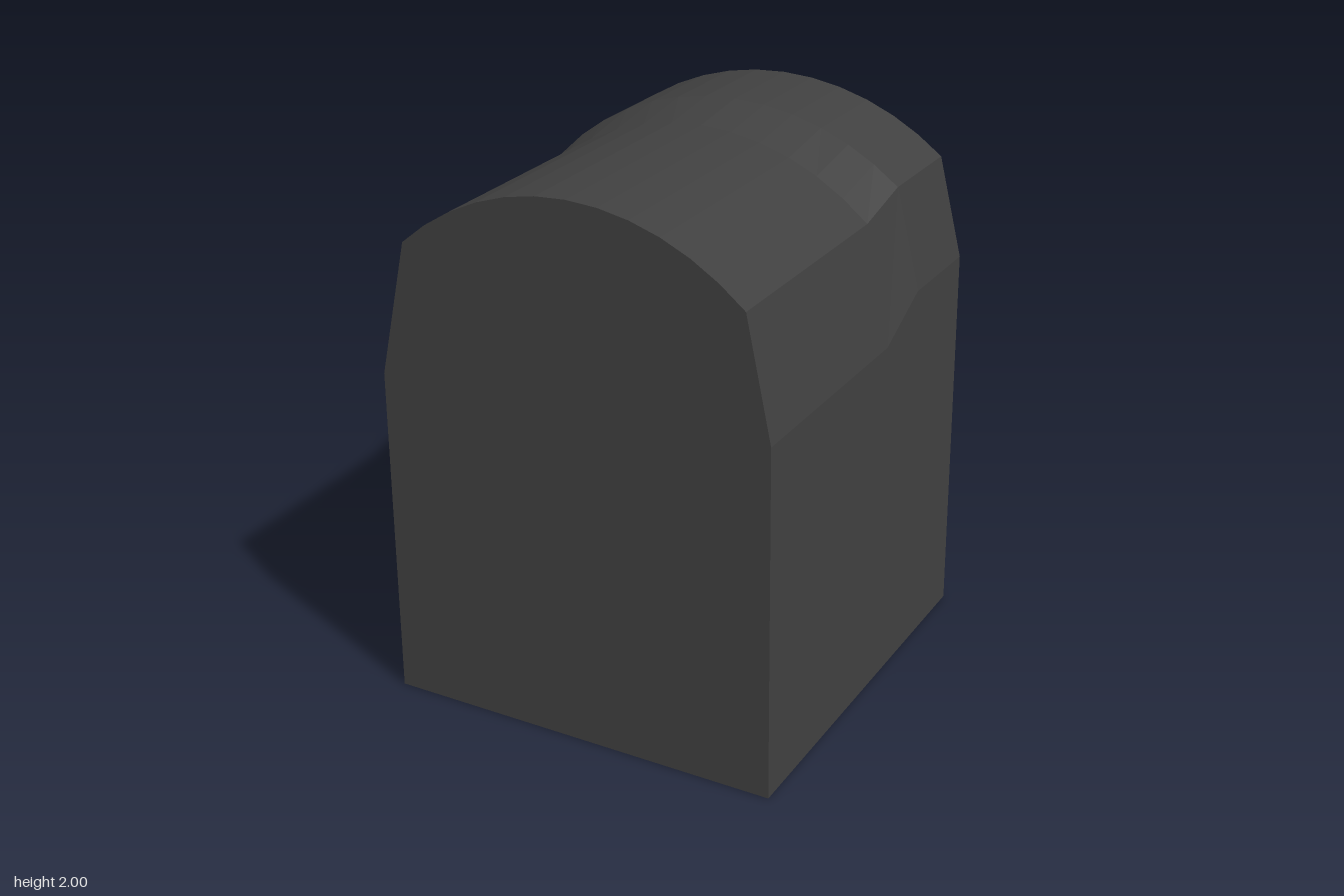
import * as THREE from 'three';

const material = (name, color, side = THREE.FrontSide) => {
  const m = new THREE.MeshStandardMaterial({ color, side, flatShading: true });
  m.name = name;
  return m;
};

// Outline of the vault from the right foot over the arched top to the left foot
function section(z, crown, corner, rightShoulder, leftShoulder) {
  const points = [[0.735, 0], [0.722, rightShoulder]];
  const steps = 12;
  const half = Math.asin(0.63 / 0.995);
  for (let i = 0; i <= steps; i++) {
    const a = half * (1 - (2 * i) / steps);
    const rise = (Math.cos(a) - Math.cos(half)) / (1 - Math.cos(half));
    points.push([0.995 * Math.sin(a), corner + (crown - corner) * rise]);
  }
  points.push([-0.738, leftShoulder], [-0.738, 0]);
  return points.map(([x, y]) => new THREE.Vector3(x, y, z));
}

// Loft the sections and close both ends
function loft(sections) {
  const positions = [];
  const tri = (...corners) => corners.forEach((p) => positions.push(p.x, p.y, p.z));
  const n = sections[0].length;
  for (let s = 0; s < sections.length - 1; s++) {
    const a = sections[s], b = sections[s + 1];
    for (let i = 0; i < n; i++) {
      const j = (i + 1) % n;
      tri(a[i], b[i], b[j]);
      tri(a[i], b[j], a[j]);
    }
  }
  const front = sections[0], back = sections[sections.length - 1];
  for (let i = 1; i < n - 1; i++) {
    tri(front[0], front[i], front[i + 1]);
    tri(back[0], back[i + 1], back[i]);
  }
  const geometry = new THREE.BufferGeometry();
  geometry.setAttribute('position', new THREE.Float32BufferAttribute(positions, 3));
  geometry.computeVertexNormals();
  return geometry;
}

export function createModel() {
  const model = new THREE.Group();
  model.name = 'archedBlock';
  const charcoal = material('charcoal', 0x404040);
  const brick = material('brickWood', 0xa0604a);
  const olive = material('oliveBrass', 0x55562a);
  const steel = material('darkSteel', 0x383a35);
  const screwBlue = material('screwBlue', 0x3c4258);

  const add = (parent, name, geometry, mat, x = 0, y = 0, z = 0) => {
    const mesh = new THREE.Mesh(geometry, mat);
    mesh.name = name;
    mesh.position.set(x, y, z);
    parent.add(mesh);
    return mesh;
  };

  // Arched body that steps up towards the back
  add(model, 'body', loft([
    section(0.795, 1.97, 1.72, 1.29, 1.23),
    section(-0.09, 1.97, 1.72, 1.29, 1.23),
    section(-0.34, 2.0, 1.775, 1.41, 1.36),
    section(-0.728, 2.0, 1.775, 1.41, 1.36),
  ]), charcoal);

  // Two bars across the back, each with a screw and a hanging padlock
  const bars = [
    { name: 'upper', y: 0.915, lockX: 0.53, lockY: 0.742, lockZ: -0.767 },
    { name: 'lower', y: 0.58, lockX: -0.53, lockY: 0.45, lockZ: -0.778 },
  ];
  for (const { name, y, lockX, lockY, lockZ } of bars) {
    const bar = new THREE.Group();
    bar.name = name + 'Bar';
    model.add(bar);
    add(bar, 'plank', new THREE.BoxGeometry(1.4, 0.12, 0.066), brick, 0, y, -0.761);
    const screw = add(bar, 'screw', new THREE.CylinderGeometry(0.02, 0.02, 0.006, 8), screwBlue, -0.288, y, -0.794);
    screw.rotation.x = Math.PI / 2;

    // Padlock body and its two shackle legs, reaching into the plank
    add(bar, 'padlock', new THREE.BoxGeometry(0.115, 0.112, 0.025), olive, lockX, lockY, lockZ);
    const bottom = lockY + 0.05, top = y - 0.05;
    for (const side of [-1, 1]) {
      add(bar, 'shackleLeg', new THREE.BoxGeometry(0.016, top - bottom, 0.014), steel,
        lockX + side * 0.032, (top + bottom) / 2, lockZ);
    }
  }
  return model;
}
